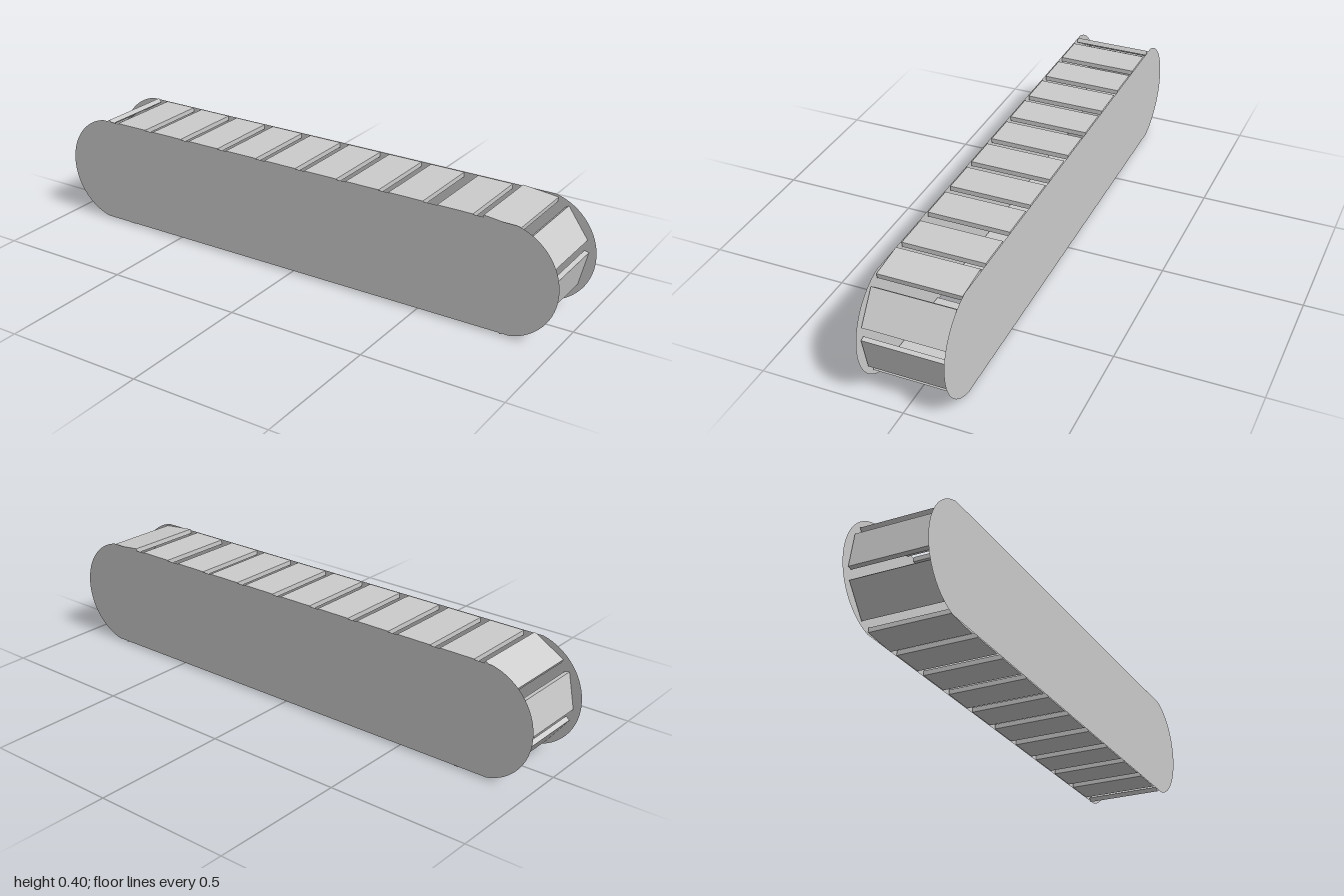
import * as THREE from 'three';

const CENTER_Y = 0.2;

// Position and outward angle on a stadium loop, s measured leftwards from the top right tangent point
function loopPoint(s, half, r) {
  const arc = Math.PI * r, run = 2 * half;
  s %= 2 * (arc + run);
  if (s < run) return { x: half - s, y: r, a: Math.PI / 2 };
  s -= run;
  if (s < arc) {
    const a = Math.PI / 2 + s / r;
    return { x: -half + r * Math.cos(a), y: r * Math.sin(a), a };
  }
  s -= arc;
  if (s < run) return { x: -half + s, y: -r, a: -Math.PI / 2 };
  const a = -Math.PI / 2 + (s - run) / r;
  return { x: half + r * Math.cos(a), y: r * Math.sin(a), a };
}

export function createModel() {
  const model = new THREE.Group();
  model.name = 'trackAssembly';
  const material = new THREE.MeshStandardMaterial({ color: 0xcccccc, flatShading: true });
  const sheet = new THREE.MeshStandardMaterial({ color: 0xcccccc, side: THREE.DoubleSide });

  // Thin side plates with rounded ends, top and bottom trimmed flat
  const outline = new THREE.Shape();
  const trim = Math.asin(0.195 / 0.2);
  outline.absarc(0.8, 0, 0.2, -trim, trim, false);
  outline.absarc(-0.8, 0, 0.2, Math.PI - trim, Math.PI + trim, false);
  outline.closePath();
  const plateGeometry = new THREE.ShapeGeometry(outline, 32);
  for (const side of [1, -1]) {
    const plate = new THREE.Mesh(plateGeometry, sheet);
    plate.name = side > 0 ? 'frontSidePlate' : 'backSidePlate';
    plate.position.set(0, CENTER_Y, side * 0.147);
    if (side < 0) plate.rotation.y = Math.PI;
    model.add(plate);
  }

  // Tread slats following the loop; the outer face lies on the path
  const half = 0.77, radius = 0.195, thickness = 0.017;
  const slatGeometry = new THREE.BoxGeometry(thickness, 0.128, 0.287);
  slatGeometry.translate(-thickness / 2, 0, 0);
  const treads = new THREE.Group();
  treads.name = 'treads';
  for (let i = 0; i < 26; i++) {
    const p = loopPoint(half - 0.446 + i * 0.165, half, radius);
    const slat = new THREE.Mesh(slatGeometry, material);
    slat.name = 'treadSlat';
    slat.position.set(p.x, CENTER_Y + p.y, 0);
    slat.rotation.z = p.a;
    treads.add(slat);
  }
  model.add(treads);
  return model;
}
